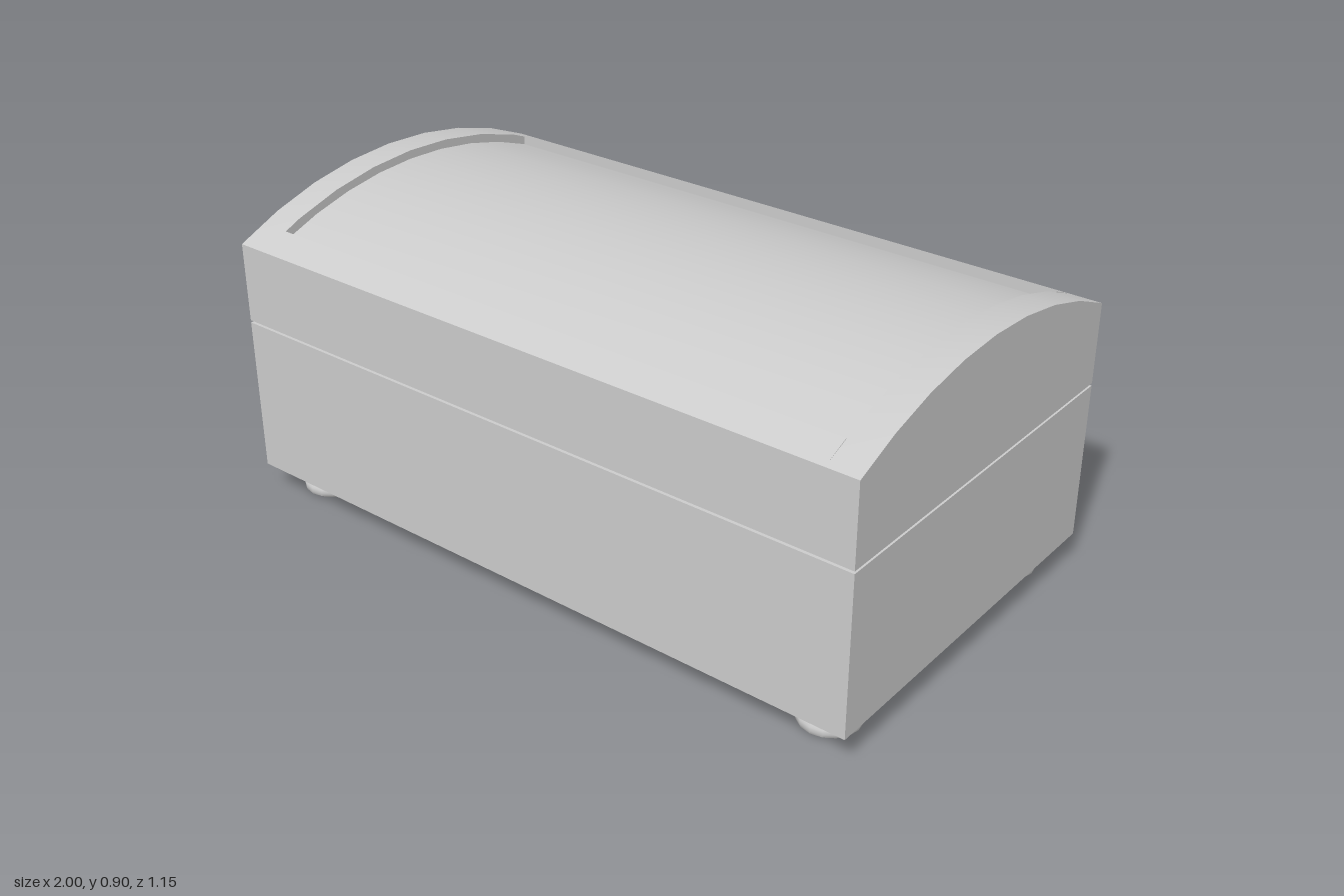
import * as THREE from 'three';
import { toCreasedNormals } from 'three/addons/utils/BufferGeometryUtils.js';

const MID_Z = 0.015;            // centre of the body, the hinges stick out behind
const HALF_D = 0.56, WALL = 0.08, END = 0.09;
const BASE_Y = 0.085, SPLIT_Y = 0.54, LID_Y = 0.547, EAVE_Y = 0.777, TOP_Y = 0.905;
const RISE = TOP_Y - EAVE_Y;
const R = (HALF_D ** 2 + RISE ** 2) / (2 * RISE);
const AXIS_Y = TOP_Y - R;

export function createModel() {
  const model = new THREE.Group();
  const grey = new THREE.MeshStandardMaterial({ color: 0xcccccc });

  const add = (name, geometry, parent = model) => {
    const mesh = new THREE.Mesh(geometry, grey);
    mesh.name = name;
    parent.add(mesh);
    return mesh;
  };

  // Points along the lid arch, from -a to a
  const arch = (radius, a, b, n) => {
    const t0 = Math.asin(a / radius), t1 = Math.asin(b / radius);
    return Array.from({ length: n + 1 }, (_, i) => {
      const t = t0 + (t1 - t0) * i / n;
      return new THREE.Vector2(radius * Math.sin(t), AXIS_Y + radius * Math.cos(t));
    });
  };

  // Depth profile (x = towards the back, y = up) swept from x0 to x1
  const sweep = (points, x0, x1) => {
    const geo = new THREE.ExtrudeGeometry(new THREE.Shape(points), { depth: x1 - x0, bevelEnabled: false });
    geo.rotateY(Math.PI / 2).translate(x0, 0, MID_Z);
    return toCreasedNormals(geo, 0.4);
  };
  const v = (x, y) => new THREE.Vector2(x, y);

  // Base: four walls around an open inside, plus a floor
  const outline = new THREE.Shape([v(-1, -HALF_D), v(1, -HALF_D), v(1, HALF_D), v(-1, HALF_D)]);
  const ix = 1 - END, iz = HALF_D - WALL;
  outline.holes.push(new THREE.Path([v(-ix, -iz), v(-ix, iz), v(ix, iz), v(ix, -iz)]));
  const walls = new THREE.ExtrudeGeometry(outline, { depth: SPLIT_Y - BASE_Y, bevelEnabled: false });
  walls.rotateX(-Math.PI / 2).translate(0, BASE_Y, MID_Z);
  add('baseWalls', walls);
  add('baseFloor', new THREE.BoxGeometry(ix * 2, 0.05, iz * 2)).position.set(0, BASE_Y + 0.025, MID_Z);

  // Domed lid: arched ends, long rails and a sunken curved panel
  const lid = new THREE.Group();
  lid.name = 'lid';
  model.add(lid);
  const endProfile = [v(HALF_D, LID_Y), ...arch(R, HALF_D, -HALF_D, 8), v(-HALF_D, LID_Y)];
  add('lidRightEnd', sweep(endProfile, -1, -ix), lid);
  add('lidLeftEnd', sweep(endProfile, ix, 1), lid);
  add('lidBackRail', sweep([v(iz, LID_Y), v(HALF_D, LID_Y), ...arch(R, HALF_D, iz, 1)], -ix, ix), lid);
  add('lidFrontRail', sweep([v(-HALF_D, LID_Y), v(-iz, LID_Y), ...arch(R, -iz, -HALF_D, 1)], -ix, ix), lid);
  add('lidPanel', sweep([...arch(R - 0.08, -iz, iz, 8), ...arch(R - 0.025, iz, -iz, 8)], -ix, ix), lid);

  // Hinges on the back: two leaves and a three-part barrel
  const backZ = MID_Z - HALF_D, hingeW = 0.212;
  for (const side of [-1, 1]) {
    const hinge = new THREE.Group();
    hinge.name = side > 0 ? 'leftHinge' : 'rightHinge';
    hinge.position.set(side * 0.6, SPLIT_Y + 0.003, backZ);
    for (const up of [-1, 1]) {
      add(up > 0 ? 'upperLeaf' : 'lowerLeaf', new THREE.BoxGeometry(hingeW, 0.108, 0.006), hinge)
        .position.set(0, up * 0.058, -0.002);
    }
    for (let i = -1; i <= 1; i++) {
      const knuckle = new THREE.CylinderGeometry(0.013, 0.013, hingeW / 3 - 0.003, 12).rotateZ(Math.PI / 2);
      add('hingeKnuckle', knuckle, hinge).position.set(i * hingeW / 3, -0.002, -0.015);
    }
    add('hingePin', new THREE.CylinderGeometry(0.008, 0.008, hingeW, 10).rotateZ(Math.PI / 2), hinge)
      .position.set(0, -0.002, -0.015);
    model.add(hinge);
  }

  // Turned bun feet
  const footProfile = [
    [0, 0], [0.074, 0], [0.083, 0.007], [0.085, 0.016], [0.085, 0.027], [0.078, 0.037],
    [0.067, 0.047], [0.061, 0.058], [0.059, 0.07], [0.06, BASE_Y + 0.002],
  ].map(([r, y]) => v(r, y));
  const footGeo = toCreasedNormals(new THREE.LatheGeometry(footProfile, 16), 0.75);
  for (const x of [-1, 1]) for (const z of [-1, 1]) {
    add('foot', footGeo).position.set(x * 0.872, 0, MID_Z + z * 0.425);
  }
  return model;
}
